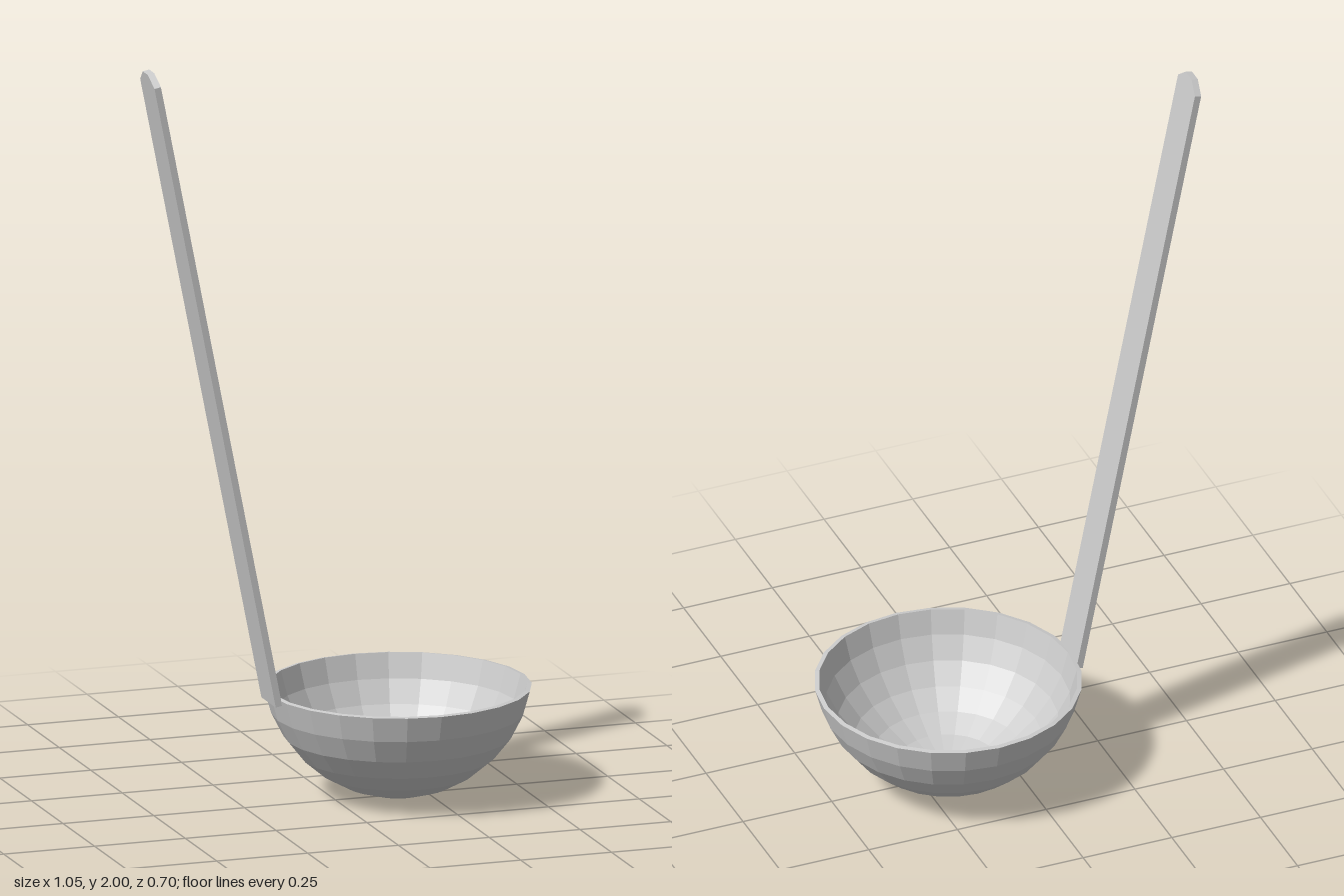
import * as THREE from 'three';

const BOWL_X = 0.172;
const RADIUS = 0.355;
const WALL = 0.012;
const BANDS = 7;
const RIM_ANGLE = THREE.MathUtils.degToRad(80);

export function createModel() {
  const group = new THREE.Group();
  const material = new THREE.MeshStandardMaterial({ color: 0xcccccc, flatShading: true });

  // Bowl: hollow spherical cap, outer wall up to the rim, inner wall back down
  const arc = (r) => Array.from({ length: BANDS + 1 }, (_, i) => {
    const a = (i / BANDS) * RIM_ANGLE;
    return new THREE.Vector2(r * Math.sin(a), RADIUS - r * Math.cos(a));
  });
  const profile = [...arc(RADIUS), ...arc(RADIUS - WALL).reverse()];
  const bowl = new THREE.Mesh(new THREE.LatheGeometry(profile, 24), material);
  bowl.name = 'bowl';
  bowl.position.x = BOWL_X;
  group.add(bowl);

  // Handle: thin flat strip with clipped top corners, leaning away from the bowl
  const w = 0.057, length = 1.753, thickness = 0.018;
  const strip = new THREE.Shape([
    [-w, 0], [w, 0], [w, length - 0.03], [0.02, length], [-0.02, length], [-w, length - 0.03],
  ].map(([x, y]) => new THREE.Vector2(x, y)));
  const handleGeometry = new THREE.ExtrudeGeometry(strip, { depth: thickness, bevelEnabled: false });
  handleGeometry.translate(0, 0, -thickness / 2).rotateY(Math.PI / 2);
  const handle = new THREE.Mesh(handleGeometry, material);
  handle.name = 'handle';
  handle.position.set(-0.175, 0.279, 0);
  handle.rotation.z = 0.195;
  group.add(handle);

  return group;
}
